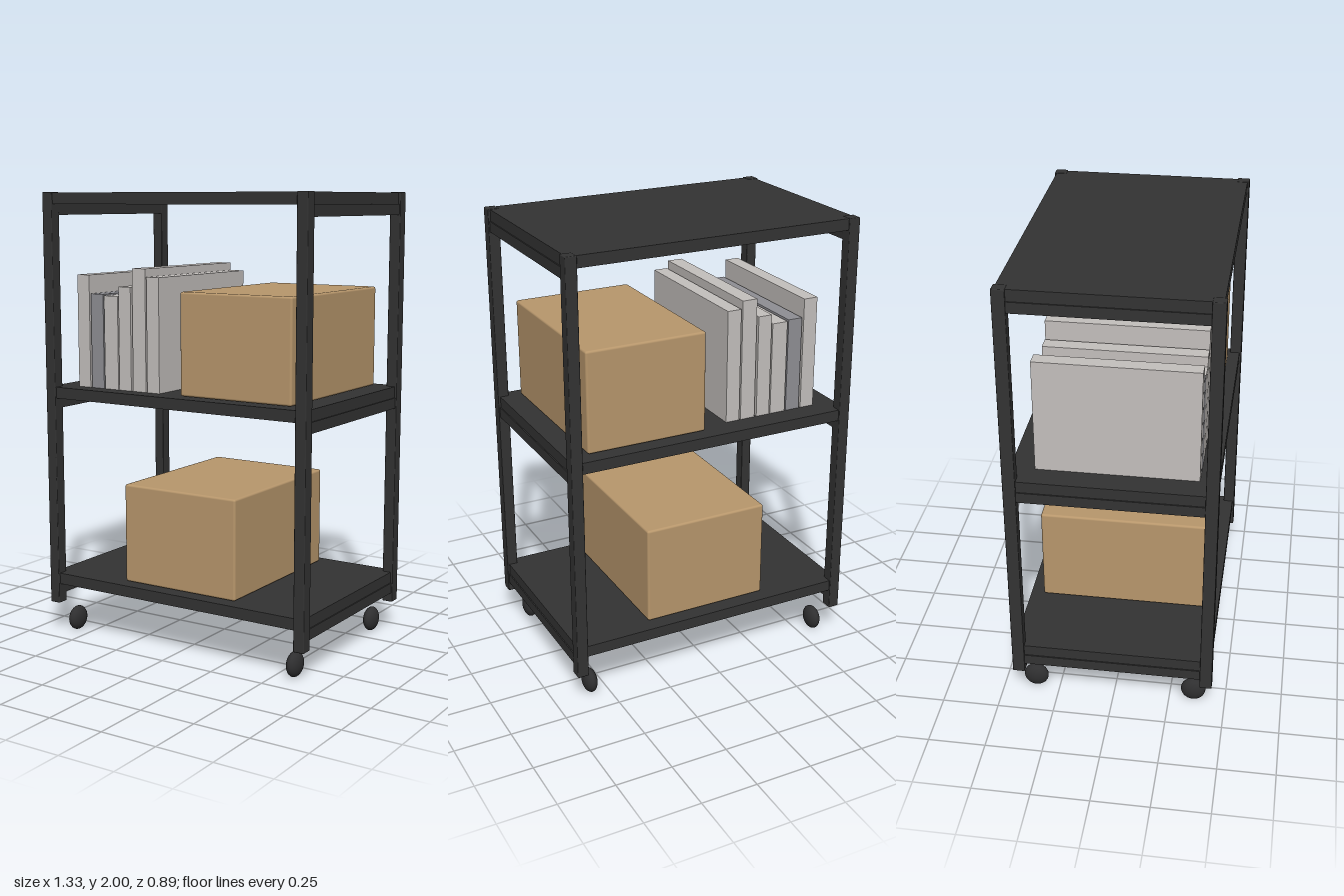
import * as THREE from 'three';
import { RoundedBoxGeometry } from 'three/addons/geometries/RoundedBoxGeometry.js';

const mat = (name, color) => {
  const m = new THREE.MeshStandardMaterial({ color });
  m.name = name;
  return m;
};

export function createModel() {
  const model = new THREE.Group();
  model.name = 'shelfCart';
  const frame = mat('charcoal frame', 0x333333);
  const rubber = mat('dark rubber', 0x2f2f30);
  const cardboard = mat('cardboard', 0xb8976c);
  const paper = mat('light grey', 0xc4c0bd);
  const slate = mat('slate grey', 0x8f8f94);

  // Box given by its min and max corners; a radius rounds the edges
  const box = (name, material, [x0, y0, z0], [x1, y1, z1], radius = 0) => {
    const size = [x1 - x0, y1 - y0, z1 - z0];
    const geo = radius
      ? new RoundedBoxGeometry(...size, 2, radius)
      : new THREE.BoxGeometry(...size);
    const mesh = new THREE.Mesh(geo, material);
    mesh.name = name;
    mesh.position.set((x0 + x1) / 2, (y0 + y1) / 2, (z0 + z1) / 2);
    model.add(mesh);
  };

  // Corner posts, each with a caster below
  const wheelGeo = new THREE.SphereGeometry(0.055, 24, 16).scale(0.56, 1, 1);
  for (const sx of [-1, 1]) {
    for (const sz of [-1, 1]) {
      const x = sx * 0.64, z = sz * 0.417;
      box('cornerPost', frame, [x - 0.025, 0.14, z - 0.027], [x + 0.025, 2, z + 0.027], 0.004);
      const wheel = new THREE.Mesh(wheelGeo, rubber);
      wheel.name = 'casterWheel';
      wheel.position.set(sx * 0.577, 0.056, sz * 0.357);
      model.add(wheel);
    }
  }

  // Shelves with a rail under each end
  for (const top of [0.28, 1.14, 1.998]) {
    box('shelf', frame, [-0.655, top - 0.05, -0.435], [0.655, top, 0.435]);
    for (const s of [-1, 1]) {
      const x = s * 0.638;
      box('endRail', frame, [x - 0.022, top - 0.097, -0.4], [x + 0.022, top - 0.05, 0.4]);
    }
  }

  // Cardboard boxes
  box('lowerBox', cardboard, [-0.28, 0.283, -0.375], [0.295, 0.726, 0.382], 0.01);
  box('upperBox', cardboard, [0.02, 1.143, -0.375], [0.562, 1.586, 0.382], 0.01);

  // Row of upright files: left edge, right edge, top, material
  const files = [
    [-0.546, -0.481, 1.64, paper],
    [-0.472, -0.405, 1.558, slate],
    [-0.399, -0.326, 1.552, paper],
    [-0.32, -0.256, 1.594, paper],
    [-0.246, -0.177, 1.675, paper],
    [-0.17, -0.106, 1.64, paper],
  ];
  for (const [x0, x1, top, material] of files) {
    box('file', material, [x0, 1.14, -0.33], [x1, top, 0.356]);
  }
  return model;
}
